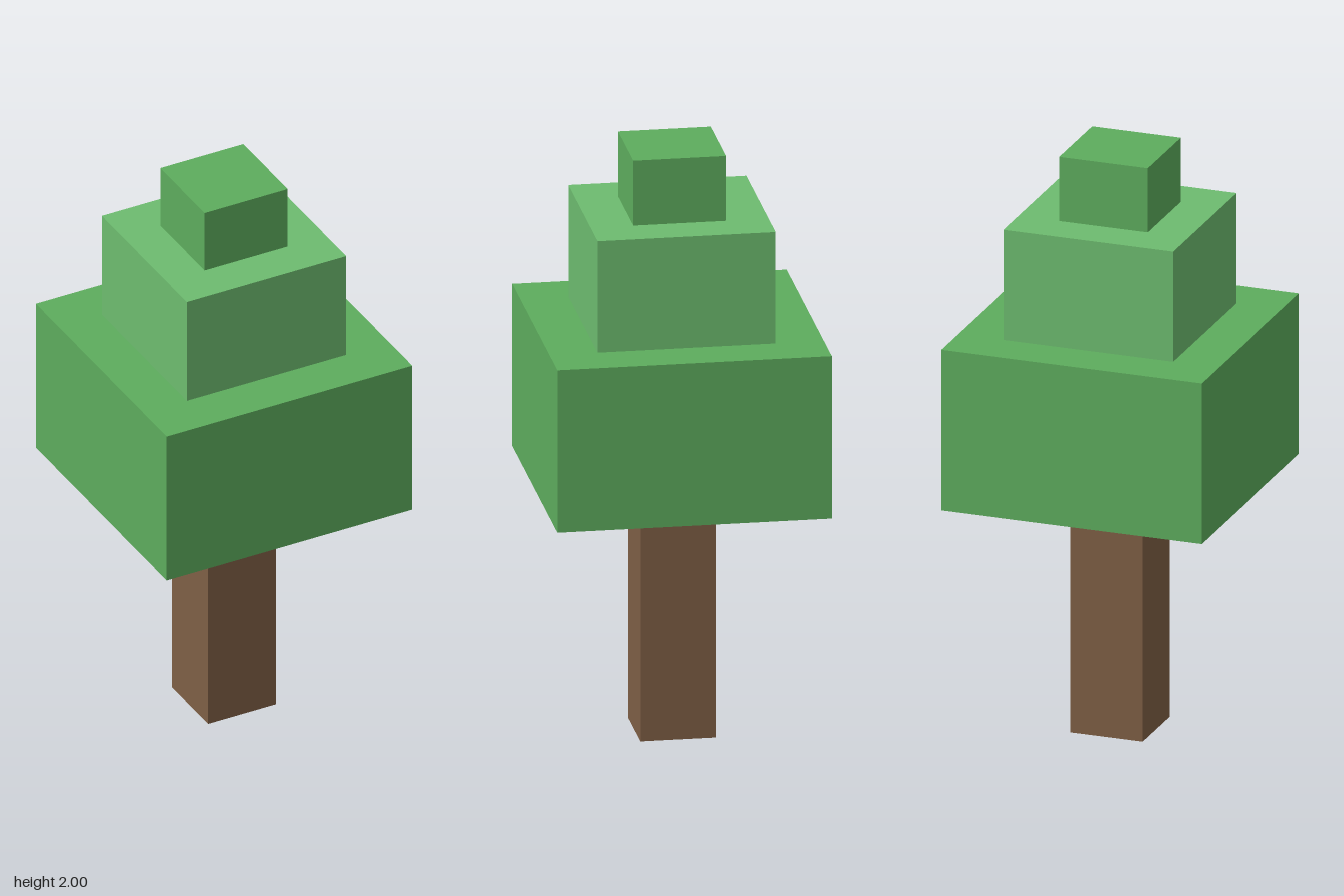
import * as THREE from 'three';

// Square block standing between two heights
function block(name, width, bottom, top, color) {
  const mesh = new THREE.Mesh(
    new THREE.BoxGeometry(width, top - bottom, width),
    new THREE.MeshStandardMaterial({ color, flatShading: true })
  );
  mesh.name = name;
  mesh.position.y = (bottom + top) / 2;
  return mesh;
}

export function createModel() {
  const tree = new THREE.Group();
  tree.name = 'tree';
  const green = 0x5dac5d, lightGreen = 0x6dbc6f, brown = 0x7e5f45;

  // Trunk, then three shrinking tiers of foliage
  tree.add(
    block('trunk', 0.25, 0, 0.84, brown),
    block('lowerFoliage', 0.904, 0.84, 1.396, green),
    block('middleFoliage', 0.587, 1.396, 1.778, lightGreen),
    block('topFoliage', 0.306, 1.778, 2, green)
  );
  return tree;
}
